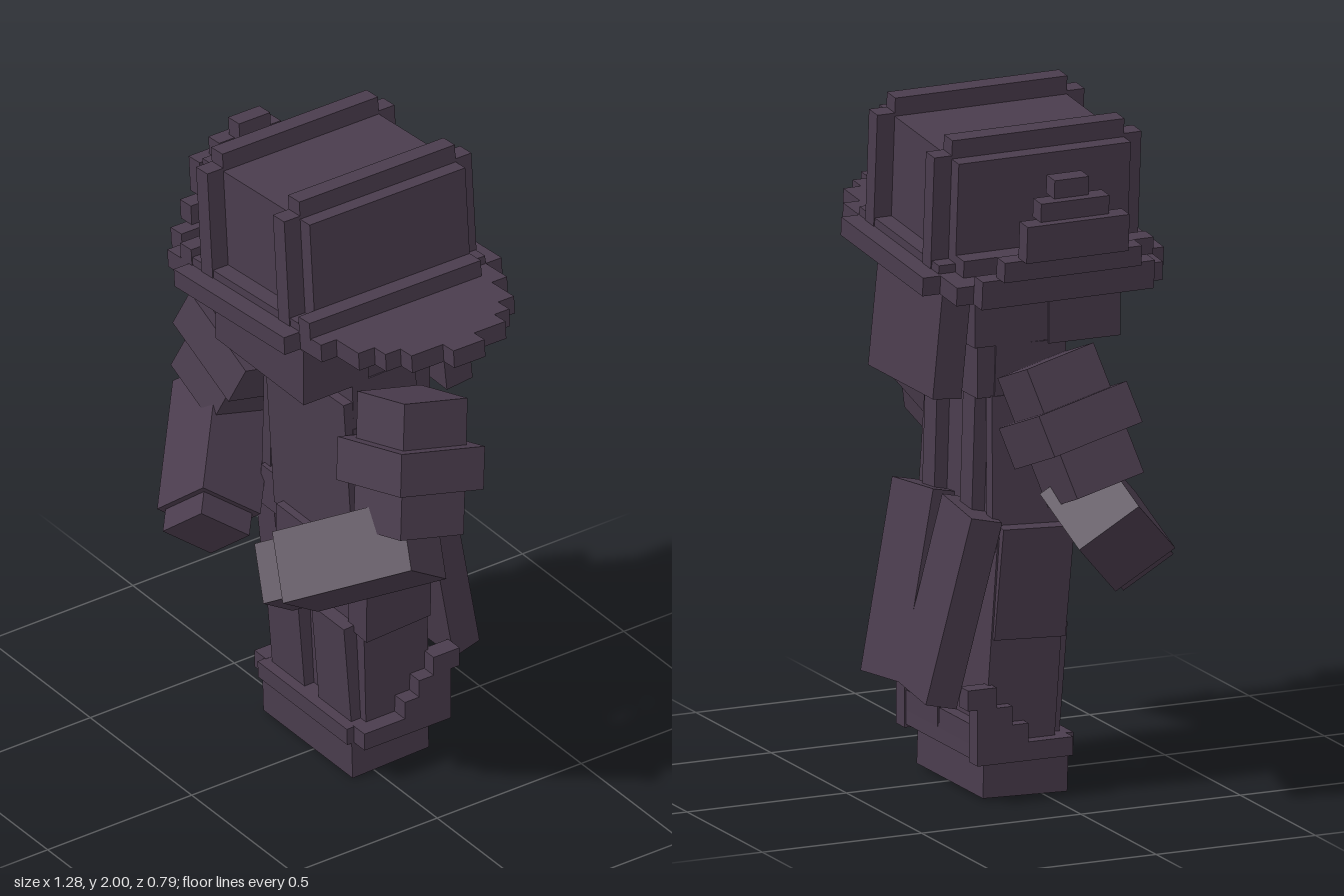
import * as THREE from 'three';

export function createModel() {
  const model = new THREE.Group();
  const cloth = new THREE.MeshStandardMaterial({ color: 0x4a3c4d });
  cloth.name = 'dusky plum';

  const add = (name, geometry, parent = model) => {
    const mesh = new THREE.Mesh(geometry, cloth);
    mesh.name = name;
    parent.add(mesh);
    return mesh;
  };
  // Box given by its ranges along x, y and z
  const box = (name, x0, x1, y0, y1, z0, z1, parent) => {
    const mesh = add(name, new THREE.BoxGeometry(x1 - x0, y1 - y0, z1 - z0), parent);
    mesh.position.set((x0 + x1) / 2, (y0 + y1) / 2, (z0 + z1) / 2);
    return mesh;
  };
  const group = (name, x, y, z, rx = 0, ry = 0, rz = 0, parent = model) => {
    const g = new THREE.Group();
    g.name = name;
    g.position.set(x, y, z);
    g.rotation.set(rx, ry, rz);
    parent.add(g);
    return g;
  };
  // Group at point a whose -y axis runs toward point b
  const limb = (name, a, b) => {
    const g = group(name, ...a);
    const dir = new THREE.Vector3(...b).sub(g.position);
    g.userData.length = dir.length();
    g.quaternion.setFromUnitVectors(new THREE.Vector3(0, -1, 0), dir.normalize());
    return g;
  };

  // Tilted hat
  const hat = group('hat', 0.005, 1.543, -0.015, -0.01, 0, 0.095);
  // Stepped brim outline: [outer x, half depth]
  const right = [[0.26, 0.378], [0.365, 0.323], [0.475, 0.27], [0.53, 0.215], [0.585, 0.163], [0.637, 0.054]];
  const left = [[-0.285, 0.378], [-0.395, 0.323], [-0.45, 0.27]];
  const outline = [];
  const walk = (steps, sign) => steps.forEach(([x, h], i) => {
    outline.push([x, sign * h]);
    if (i + 1 < steps.length) outline.push([x, sign * steps[i + 1][1]]);
  });
  const walkBack = (steps, sign) => [...steps.keys()].reverse().forEach((i) => {
    const [x, h] = steps[i];
    if (i + 1 < steps.length) outline.push([x, sign * steps[i + 1][1]]);
    outline.push([x, sign * h]);
  });
  walk(right, -1);
  walkBack(right, 1);
  walk(left, 1);
  walkBack(left, -1);
  const brimShape = new THREE.Shape(outline.map(([x, z]) => new THREE.Vector2(x, z)));
  const brim = new THREE.ExtrudeGeometry(brimShape, { depth: 0.055, bevelEnabled: false });
  brim.rotateX(-Math.PI / 2);
  add('brim', brim, hat);
  // Curled up side of the brim
  [[-0.425, 0.03, 0.085, 0.27], [-0.452, 0.085, 0.145, 0.215], [-0.478, 0.145, 0.255, 0.16],
    [-0.452, 0.255, 0.31, 0.107], [-0.425, 0.31, 0.365, 0.054]].forEach(([x, y0, y1, h]) =>
    box('brimCurl', x - 0.027, x + 0.027, y0, y1, -h, h, hat));
  box('crown', -0.27, 0.26, 0.05, 0.38, -0.27, 0.27, hat);
  // Raised ribs over the crown
  for (const x of [-0.195, 0.185]) {
    box('topRib', x - 0.028, x + 0.028, 0.38, 0.435, -0.27, 0.27, hat);
    box('frontRib', x - 0.028, x + 0.028, 0.05, 0.39, 0.27, 0.325, hat);
    box('backRib', x - 0.028, x + 0.028, 0.05, 0.39, -0.325, -0.27, hat);
  }
  // Band round the crown
  box('bandLeft', 0.26, 0.315, 0.05, 0.105, -0.27, 0.325, hat);
  box('bandRight', -0.325, -0.27, 0.05, 0.105, -0.27, 0.325, hat);
  box('bandFront', -0.27, 0.26, 0.05, 0.08, 0.27, 0.322, hat);
  box('bandBack', -0.27, 0.26, 0.05, 0.08, -0.322, -0.27, hat);

  // Head and the hair hanging behind it
  box('head', -0.24, 0.187, 1.33, 1.57, -0.21, 0.22);
  box('face', -0.245, 0.19, 1.32, 1.5, 0.02, 0.245);
  const hair = group('hair', -0.028, 1.56, -0.262, 0.1);
  box('hairPanel', -0.215, 0.215, -0.37, 0, -0.045, 0.045, hair);
  box('shoulderYoke', -0.235, 0.18, 1.18, 1.34, -0.2, -0.1);

  // Torso with front panel and back bars
  const torso = group('torso', -0.025, 0.78, -0.05, 0.03);
  box('chest', -0.215, 0.215, 0, 0.55, -0.11, 0.11, torso);
  box('frontPanel', -0.165, 0.225, -0.02, 0.48, 0.1, 0.14, torso).rotation.z = 0.05;
  for (const x of [-0.13, 0.12]) box('backBar', x - 0.04, x + 0.04, 0, 0.45, -0.15, -0.1, torso);
  for (const s of [-1, 1]) {
    const side = box('jacketSide', s * 0.215 - 0.02, s * 0.215 + 0.02, -0.05, 0.4, -0.12, 0.115, torso);
    side.rotation.z = s * 0.07;
  }

  // Belt
  box('belt', -0.255, 0.205, 0.7, 0.83, -0.165, 0.08);
  box('buckle', -0.13, 0.03, 0.67, 0.775, 0.07, 0.115);

  // Coat tails swinging out behind, drawing together at the hem
  for (const s of [-1, 1]) {
    const tail = group('coatTail', -0.03 + s * 0.15, 0.845, -0.19, 0.225, s * 0.06, -s * 0.085);
    box('tailPanel', -0.118, 0.118, -0.56, 0, -0.048, 0.048, tail);
  }

  // Legs and boots
  for (const s of [-1, 1]) {
    const m = -0.03;
    const leg = group('leg', m + s * 0.135, 0.78, -0.04, 0.05, 0, -s * 0.04);
    box('trouser', -0.122, 0.11, -0.66, 0, -0.12, 0.1, leg).scale.x = 1;
    box('hipFlap', s > 0 ? 0.05 : -0.14, s > 0 ? 0.14 : -0.05, -0.3, 0.03, -0.115, 0.108, leg).rotation.z = -s * 0.04;
    const shin = group('shinGuard', m + s * 0.115, 0.33, 0.05, 0.08);
    box('shinPlate', -0.08, 0.08, -0.16, 0.165, -0.03, 0.025, shin);
    const x = m + s * 0.11;
    const foot = group('boot', x, 0, -0.06, 0.03);
    box('sole', -0.11, 0.11, 0.006, 0.16, -0.13, 0.135, foot);
    box('bootCuff', -0.11, 0.11, 0.125, 0.178, -0.17, 0.15, foot);
    // Stepped outer boot edge climbing toward the heel
    [[0.12, 0.175, 0.07], [0.175, 0.23, -0.07], [0.23, 0.285, -0.12], [0.285, 0.345, -0.17]]
      .forEach(([y0, y1, z1], i) => {
        const xo = m + s * 0.243;
        box('bootStep', xo - 0.028, xo + 0.028, y0, y1, i === 3 ? -0.26 : -0.23, z1);
      });
    box('heelGuard', x - 0.105, x + 0.105, 0.17, 0.23, -0.225, -0.16);
  }

  // Arms: shoulder, elbow, forearm start, wrist
  const arms = [
    ['left', [0.315, 1.315, -0.045], [0.43, 0.95, 0.05], [0.475, 0.94, 0.03], [0.15, 0.745, 0.29]],
    ['right', [-0.36, 1.305, -0.045], [-0.495, 0.945, 0.05], [-0.535, 0.93, 0.01], [-0.25, 0.7, 0.27]],
  ];
  for (const [side, shoulder, elbow, start, wrist] of arms) {
    const upper = limb(side + 'UpperArm', shoulder, elbow);
    box('sleeve', -0.115, 0.115, -upper.userData.length, 0, -0.11, 0.11, upper);
    box('sleeveBand', -0.157, 0.157, -0.26, -0.135, -0.145, 0.145, upper);
    const fore = limb(side + 'Forearm', start, wrist);
    const len = fore.userData.length;
    box('foreSleeve', -0.105, 0.105, -len + 0.04, 0, -0.105, 0.105, fore);
    box('hand', -0.088, 0.088, -len - 0.03, -len + 0.05, -0.088, 0.088, fore);
  }

  return model;
}
